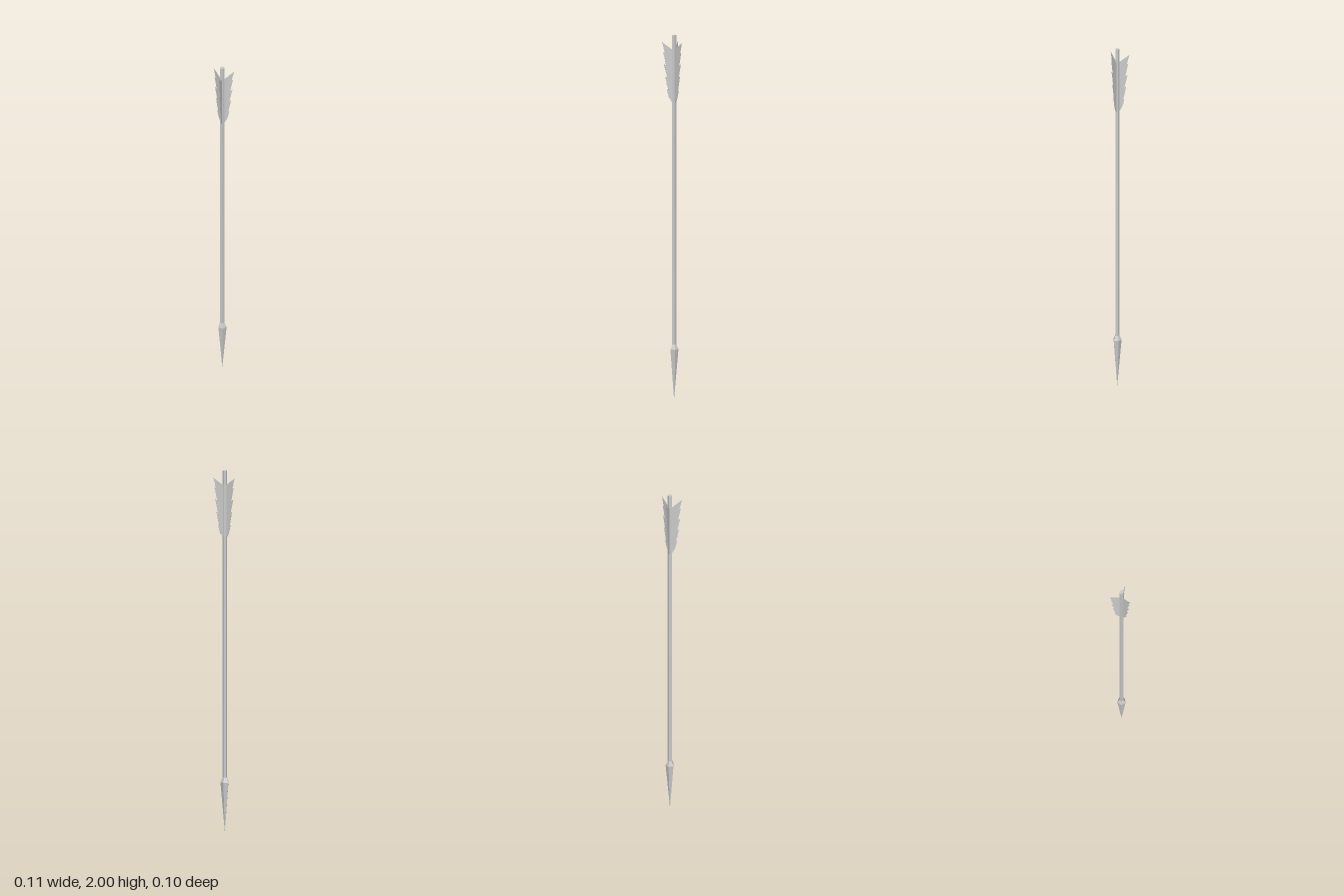
import * as THREE from 'three';

const SIDES = 5;
const AXIS_Z = 0.017;

const material = new THREE.MeshStandardMaterial({
  color: 0xcccccc, flatShading: true, side: THREE.DoubleSide,
});

function addMesh(parent, name, geometry) {
  const mesh = new THREE.Mesh(geometry, material);
  mesh.name = name;
  parent.add(mesh);
  return mesh;
}

// Feather outline: x runs out from the shaft, y up, with swept barbs cut in the edge
function featherGeometry() {
  const outline = [
    [0.004, 1.63], [0.012, 1.632], [0.026, 1.655], [0.033, 1.675],
    [0.039, 1.705], [0.032, 1.7], [0.04, 1.73],
    [0.049, 1.778], [0.039, 1.768], [0.046, 1.8],
    [0.057, 1.845], [0.044, 1.835], [0.051, 1.87],
    [0.06, 1.91], [0.052, 1.905],
    [0.066, 1.963], [0.012, 1.922], [0.004, 1.922],
  ].map(([x, y]) => new THREE.Vector2(x, y));
  const thickness = 0.004;
  const geometry = new THREE.ExtrudeGeometry(new THREE.Shape(outline), {
    depth: thickness, bevelEnabled: false,
  });
  geometry.translate(0, 0, -thickness / 2);
  // Thin the feather towards its outer edge
  const p = geometry.attributes.position;
  for (let i = 0; i < p.count; i++) p.setZ(i, p.getZ(i) * (1 - p.getX(i) / 0.075));
  geometry.computeVertexNormals();
  return geometry;
}

export function createModel() {
  const arrow = new THREE.Group();
  arrow.name = 'arrow';
  arrow.position.z = AXIS_Z;

  // Five-sided shaft
  const bottom = 0.28, top = 2;
  const shaft = addMesh(arrow, 'shaft',
    new THREE.CylinderGeometry(0.0125, 0.0125, top - bottom, SIDES, 1, false, Math.PI));
  shaft.position.y = (top + bottom) / 2;

  // Pointed head with a short shoulder
  const profile = [[0, 0], [0.024, 0.275], [0.0125, 0.302]]
    .map(([r, y]) => new THREE.Vector2(r, y));
  addMesh(arrow, 'arrowhead', new THREE.LatheGeometry(profile, SIDES, Math.PI));

  // Three feathers, one straight back
  const feather = featherGeometry();
  ['backFeather', 'rightFeather', 'leftFeather'].forEach((name, i) => {
    addMesh(arrow, name, feather).rotation.y = Math.PI / 2 + i * Math.PI * 2 / 3;
  });

  const model = new THREE.Group();
  model.add(arrow);
  return model;
}
